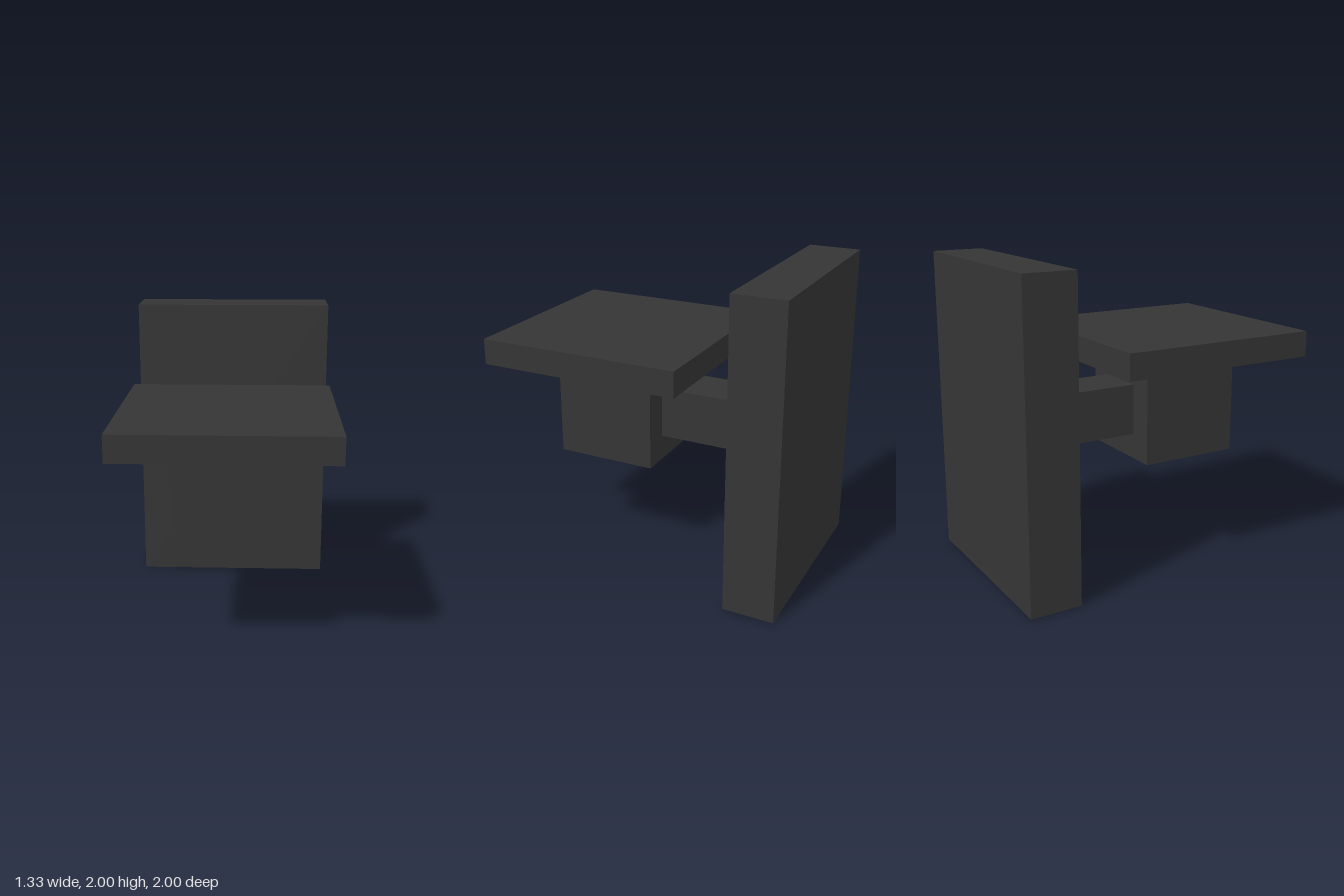
import * as THREE from 'three';

// All dimensions fall on a grid of one twelfth of the height
const U = 1 / 6;

export function createModel() {
  const model = new THREE.Group();
  model.name = 'wallLamp';

  const darkGrey = new THREE.MeshStandardMaterial({ color: 0x353535 });
  darkGrey.name = 'darkGrey';

  // Box centred on x, given by its width and its y and z ranges in grid units
  function addBox(name, width, [y0, y1], [z0, z1]) {
    const geometry = new THREE.BoxGeometry(width * U, (y1 - y0) * U, (z1 - z0) * U);
    const mesh = new THREE.Mesh(geometry, darkGrey);
    mesh.name = name;
    mesh.position.set(0, ((y0 + y1) / 2) * U, ((z0 + z1) / 2) * U);
    model.add(mesh);
  }

  addBox('backPlate', 8, [0, 12], [-6, -4]);
  addBox('arm', 2, [5, 7], [-4, 0]);
  addBox('block', 4, [4, 8], [0, 4]);
  addBox('topSlab', 8, [8, 9], [-2, 6]);

  return model;
}
